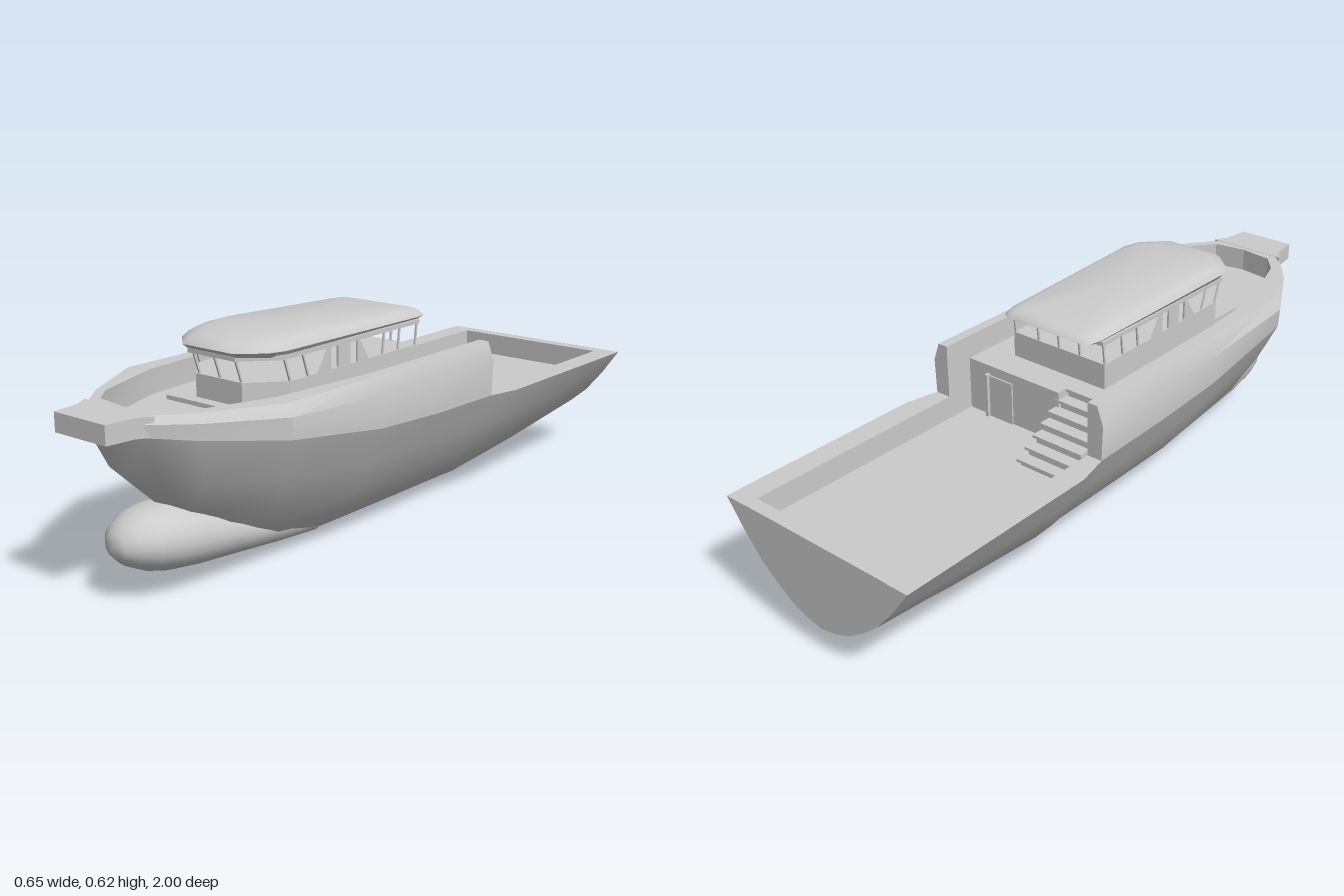
import * as THREE from 'three';
import { toCreasedNormals } from 'three/addons/utils/BufferGeometryUtils.js';

const mat = new THREE.MeshStandardMaterial({ color: 0xcccccc });
const sheetMat = new THREE.MeshStandardMaterial({ color: 0xcccccc, side: THREE.DoubleSide });

// Skin a list of cross-sections (arrays of Vector3 of equal length)
function loft(sections, closed = false, crease = 0.6) {
  const pos = [];
  const tri = (a, b, c) => {
    const area = b.clone().sub(a).cross(c.clone().sub(a)).length();
    if (area > 1e-9) for (const p of [a, b, c]) pos.push(p.x, p.y, p.z);
  };
  for (let i = 0; i < sections.length - 1; i++) {
    const s = sections[i], t = sections[i + 1], n = s.length;
    for (let j = 0; j < (closed ? n : n - 1); j++) {
      const k = (j + 1) % n;
      tri(s[j], s[k], t[j]);
      tri(s[k], t[k], t[j]);
    }
  }
  const g = new THREE.BufferGeometry();
  g.setAttribute('position', new THREE.Float32BufferAttribute(pos, 3));
  return toCreasedNormals(g, crease);
}

const V = (x, y, z) => new THREE.Vector3(x, y, z);
const mirrorX = (pts) => pts.map((p) => V(-p.x, p.y, p.z)).reverse();

// Vertical prism from a plan outline of [x, z] pairs
function prism(plan, y0, y1) {
  const shape = new THREE.Shape(plan.map(([x, z]) => new THREE.Vector2(x, -z)));
  const g = new THREE.ExtrudeGeometry(shape, { depth: y1 - y0, bevelEnabled: false });
  return g.rotateX(-Math.PI / 2).translate(0, y0, 0);
}

// Flat end plate from points sharing one z
function plate(pts) {
  const shape = new THREE.Shape(pts.map((p) => new THREE.Vector2(p.x, p.y)));
  return new THREE.ShapeGeometry(shape).translate(0, 0, pts[0].z);
}

// Hull stations: z at knuckle, half width, knuckle y, keel y, rake, inner half width, inner z
const stations = [
  [-1, 0.325, 0.34, 0.08, 0, 0.255, -1],
  [-0.7, 0.325, 0.34, 0.035, 0, 0.255, -0.7],
  [-0.37, 0.325, 0.34, 0.003, 0, 0.255, -0.37],
  [-0.27, 0.303, 0.34, 0, 0, 0.255, -0.27],
  [0, 0.303, 0.345, 0, 0, 0.255, 0],
  [0.25, 0.305, 0.36, 0, 0.03, 0.255, 0.25],
  [0.6, 0.3, 0.41, 0.02, 0.2, 0.225, 0.57],
  [0.8, 0.19, 0.435, 0.025, 0.35, 0.15, 0.79],
  [0.9, 0.11, 0.45, 0.03, 0.45, 0.1, 0.85],
  [0.935, 0, 0.45, 0.03, 0.47, 0, 0.865],
];
const frame = [[0, 0], [0.16, 0.04], [0.31, 0.11], [0.48, 0.25], [0.65, 0.43], [0.83, 0.7], [1, 1]];

function hullSection([z, w, yk, keel, rake]) {
  const half = frame.map(([sx, sy]) =>
    V(w * sx, keel + (yk - keel) * sy, z - rake * Math.pow(1 - sy, 1.7)));
  return [...mirrorX(half.slice(1)), ...half];
}

function bulwarkSection([z, w, yk, , , wi, zi]) {
  const flare = w > 0 ? 0.004 : 0, lean = w > 0 ? 0.016 : 0;
  return [
    V(w, yk, z), V(w + flare, yk + (0.5 - yk) * 0.65, z), V(w - lean, 0.5, z),
    V(wi, 0.5, zi), V(wi, z <= 0 ? 0.27 : 0.42, zi),
  ];
}

export function createModel() {
  const model = new THREE.Group();
  const add = (name, geometry, material = mat) => {
    const mesh = new THREE.Mesh(geometry, material);
    mesh.name = name;
    model.add(mesh);
    return mesh;
  };
  const box = (name, x0, x1, y0, y1, z0, z1) =>
    add(name, new THREE.BoxGeometry(x1 - x0, y1 - y0, z1 - z0)
      .translate((x0 + x1) / 2, (y0 + y1) / 2, (z0 + z1) / 2));

  // Hull skin and flat transom
  const hull = stations.map(hullSection);
  add('hull', loft(hull), sheetMat);
  add('transom', plate(hull[0]), sheetMat);

  // Low aft rails and high forward bulwarks, both sides
  const aft = stations.slice(0, 4).map(([z, w, yk, , , wi]) =>
    [V(w, yk, z), V(wi, yk, z), V(wi, 0.27, z)]);
  const fore = stations.slice(3).map(bulwarkSection);
  for (const [side, f] of [['left', (s) => s], ['right', mirrorX]]) {
    add(side + 'AftRail', loft(aft.map(f)), sheetMat);
    add(side + 'Bulwark', loft(fore.map(f), false, 0.5), sheetMat);
    add(side + 'BulwarkEnd', plate(f(fore[0])), sheetMat);
  }
  box('sternRail', -0.255, 0.255, 0.27, 0.34, -0.999, -0.96);
  add('bowPlatform', prism([[-0.09, 1], [0.09, 1], [0.1, 0.92], [0.125, 0.88], [-0.125, 0.88], [-0.1, 0.92]], 0.45, 0.501));

  // Bulbous bow: z, top y, bottom y, half width
  const bulb = [
    [0.25, 0.1, 0.004, 0.09], [0.4, 0.15, 0.02, 0.115], [0.6, 0.205, 0.038, 0.12],
    [0.7, 0.228, 0.046, 0.12], [0.78, 0.235, 0.057, 0.113], [0.84, 0.228, 0.074, 0.097],
    [0.885, 0.21, 0.098, 0.07], [0.91, 0.185, 0.122, 0.04], [0.92, 0.153, 0.153, 0],
  ].map(([z, top, bottom, rx]) => Array.from({ length: 20 }, (_, i) => {
    const a = (i / 20) * Math.PI * 2;
    return V(rx * Math.cos(a), (top + bottom) / 2 + ((top - bottom) / 2) * Math.sin(a), z);
  }));
  add('bulbousBow', loft(bulb, true, 1));

  // Decks, the upper one notched for the stairs
  box('aftDeck', -0.255, 0.255, 0.26, 0.27, -0.97, -0.1);
  const inner = stations.slice(4).map((s) => [s[5], s[6]]);
  const mirrored = inner.slice(0, -1).reverse().map(([x, z]) => [-x, z]);
  add('upperDeck', prism([[-0.07, -0.18], [0.255, -0.18], ...inner, ...mirrored,
    [-0.255, -0.11], [-0.07, -0.11]], 0.415, 0.43));

  // Cabin wall below the upper deck, with door
  box('cabinWall', -0.07, 0.255, 0.27, 0.42, -0.18, -0.165);
  box('stairSideWall', -0.08, -0.07, 0.27, 0.43, -0.18, -0.1);
  box('stairBackWall', -0.255, -0.07, 0.27, 0.42, -0.11, -0.1);
  box('cabinDoor', 0.09, 0.175, 0.27, 0.4, -0.185, -0.18);
  box('doorPost', 0.175, 0.185, 0.27, 0.405, -0.195, -0.18);

  // Stairs
  const steps = 7, run = 0.23 / steps, rise = 0.16 / steps;
  for (let i = 0; i < steps; i++) {
    const z = -0.34 + i * run, y = 0.27 + (i + 1) * rise;
    box('stairTread', -0.24, -0.07, y - 0.008, y, z - 0.006, z + run);
    box('stairRiser', -0.235, -0.075, 0.27, y - 0.008, z + 0.006, z + run);
  }

  // Wheelhouse base and window header
  const plan = (w, front, back) => [[-w, back], [w, back], [w, front - 0.09],
    [w * 0.5, front], [-w * 0.5, front], [-w, front - 0.09]];
  add('wheelhouseBase', prism(plan(0.165, 0.545, -0.085), 0.42, 0.506));
  add('windowHeader', prism(plan(0.167, 0.57, -0.095), 0.566, 0.578));
  box('wheelhouseStep', -0.16, 0.16, 0.42, 0.442, 0.44, 0.58);

  // Window posts, leaning outward at both ends
  const post = (x, z) => {
    const lean = z > 0.35 ? 0.022 : z < 0.1 ? -0.008 : 0;
    const g = new THREE.BoxGeometry(0.005, 0.066, 0.006);
    const p = g.attributes.position;
    for (let i = 0; i < p.count; i++) if (p.getY(i) > 0) p.setZ(i, p.getZ(i) + lean);
    g.computeVertexNormals();
    add('windowPost', g.translate(x, 0.537, z));
  };
  for (const x of [-0.075, 0, 0.075]) for (const z of [0.537, -0.08]) post(x, z);
  for (const s of [-1, 1]) {
    for (const z of [0.45, 0.38, 0.07, 0, -0.08]) post(s * 0.162, z);
    // Door panel flanked by slanted window ends
    box('sideDoor', s * 0.162 - 0.003, s * 0.162 + 0.003, 0.5, 0.57, 0.212, 0.262);
    for (const [z0, z1] of [[0.29, 0.345], [0.182, 0.13]]) {
      const pts = [V(0, 0.5, z0), V(0, 0.57, z0), V(0, 0.57, z0 + (z1 - z0) * 0.15), V(0, 0.5, z1)];
      const shape = new THREE.Shape(pts.map((p) => new THREE.Vector2(-p.z, p.y)));
      const g = new THREE.ExtrudeGeometry(shape, { depth: 0.006, bevelEnabled: false });
      add('windowEnd', g.rotateY(Math.PI / 2).translate(s * 0.162 - 0.003, 0, 0));
    }
  }

  // Rounded roof: y, half width, front z, rear z; lower toward the rear
  const roof = [
    [0.574, 0, 0.2, 0.2], [0.574, 0.163, 0.565, -0.13], [0.589, 0.171, 0.582, -0.148],
    [0.602, 0.166, 0.565, -0.142], [0.615, 0.155, 0.53, -0.13], [0.625, 0.135, 0.475, -0.11],
    [0.625, 0, 0.2, 0.2],
  ].map(([y, w, f, r]) => {
    const c = w ? 1 : 0;
    const half = [[0.52, f], [0.9, f - 0.06 * c], [1, f - 0.11 * c], [0.95, r + 0.05 * c],
      [0.9, r + 0.015 * c], [0.78, r]].map(([k, z]) => {
      const t = Math.min(1, (z + 0.14) / 0.61);
      return V(w * k, 0.574 + (y - 0.574) * (0.6 + 0.4 * t), z);
    });
    return [...half, ...mirrorX(half)];
  });
  add('roof', loft(roof, true, 0.7));

  return model;
}
